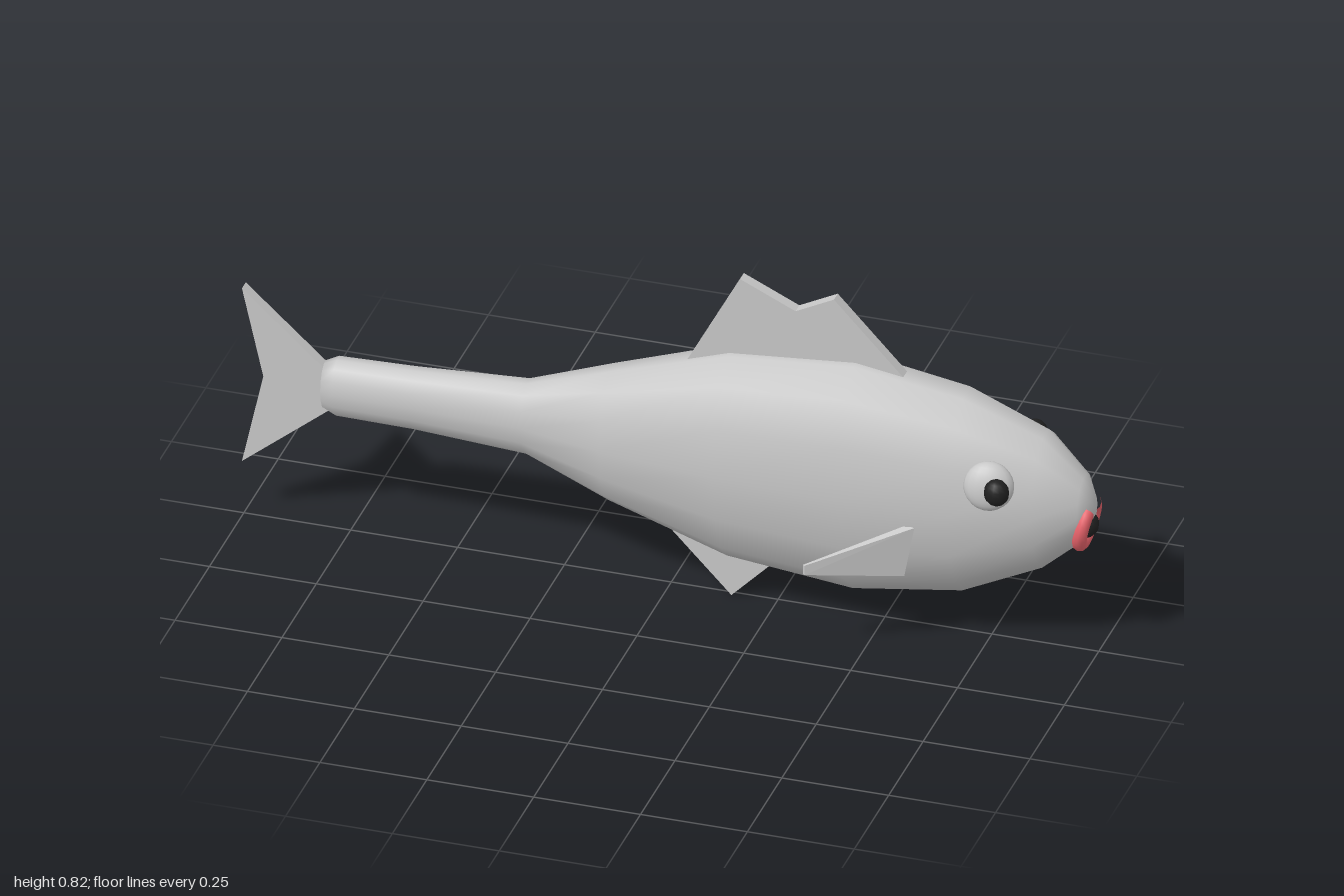
import * as THREE from 'three';
import { ConvexGeometry } from 'three/addons/geometries/ConvexGeometry.js';

const grey = new THREE.MeshStandardMaterial({ name: 'silver grey', color: 0xc6c6c6 });
const red = new THREE.MeshStandardMaterial({ name: 'lip red', color: 0xe8636b });
const black = new THREE.MeshStandardMaterial({ name: 'black', color: 0x202020 });

function addMesh(parent, name, geometry, material) {
  const mesh = new THREE.Mesh(geometry, material);
  mesh.name = name;
  parent.add(mesh);
  return mesh;
}

// Smooth body lofted through 14-sided rings: [x, bottom, top, half width]
function bodyGeometry() {
  const rings = [
    [-0.81, 0.31, 0.425, 0.036], [-0.78, 0.297, 0.44, 0.047], [-0.6, 0.295, 0.445, 0.05],
    [-0.335, 0.28, 0.46, 0.06], [-0.14, 0.2, 0.53, 0.095], [0.14, 0.112, 0.625, 0.135],
    [0.435, 0.082, 0.652, 0.146], [0.69, 0.12, 0.613, 0.133], [0.875, 0.208, 0.54, 0.105],
    [0.967, 0.287, 0.447, 0.06], [0.988, 0.33, 0.4, 0.027]
  ];
  const sides = 14, flat = Math.cos(Math.PI / sides);
  const pos = [], index = [];
  rings.forEach(([x, low, high, w]) => {
    for (let j = 0; j < sides; j++) {
      const a = ((j + 0.5) / sides) * Math.PI * 2;
      pos.push(x, (low + high) / 2 + ((high - low) / 2 / flat) * Math.cos(a), w * Math.sin(a));
    }
  });
  const last = rings.length - 1, tail = rings.length * sides, nose = tail + 1;
  pos.push(-0.812, 0.368, 0, 0.991, 0.365, 0);
  for (let j = 0; j < sides; j++) {
    const k = (j + 1) % sides;
    for (let i = 0; i < last; i++) {
      const a = i * sides + j, c = i * sides + k;
      index.push(a, c, a + sides, c, c + sides, a + sides);
    }
    index.push(tail, k, j, nose, last * sides + j, last * sides + k);
  }
  const g = new THREE.BufferGeometry();
  g.setAttribute('position', new THREE.Float32BufferAttribute(pos, 3));
  g.setIndex(index);
  g.computeVertexNormals();
  return g;
}

// Flat slab fin in the middle plane
function slabFin(points) {
  const shape = new THREE.Shape(points.map(([x, y]) => new THREE.Vector2(x, y)));
  const g = new THREE.ExtrudeGeometry(shape, { depth: 0.028, bevelEnabled: false });
  return g.translate(0, 0, -0.014);
}

export function createModel() {
  const fish = new THREE.Group();
  fish.name = 'fish';
  addMesh(fish, 'body', bodyGeometry(), grey);

  addMesh(fish, 'tailFin', slabFin([
    [-1, 0.588], [-0.95, 0.37], [-1, 0.143], [-0.79, 0.315], [-0.77, 0.37], [-0.79, 0.4]
  ]), grey);
  addMesh(fish, 'dorsalFin', slabFin([
    [0.02, 0.55], [0.3, 0.55], [0.58, 0.6], [0.385, 0.806], [0.295, 0.76], [0.165, 0.82]
  ]), grey);
  addMesh(fish, 'bellyFin', slabFin([[-0.02, 0.172], [0.145, 0.002], [0.28, 0.14]]), grey);

  // Parts on both flanks
  for (const s of [1, -1]) {
    const side = s > 0 ? 'left' : 'right';

    // Side fin: wedge sweeping back to a thin tip
    const corners = [
      [0.385, 0.224, 0.24], [0.385, 0.248, 0.24], [0.39, 0.224, 0.243], [0.39, 0.248, 0.243],
      [0.575, 0.208, 0.13], [0.59, 0.325, 0.13], [0.59, 0.2, 0.14], [0.612, 0.325, 0.135]
    ].map(([x, y, z]) => new THREE.Vector3(x, y, z * s));
    addMesh(fish, side + 'SideFin', new ConvexGeometry(corners), grey);

    // Flattened eyeball leaning up and forward, with a round pupil
    const eye = addMesh(fish, side + 'Eye', new THREE.SphereGeometry(1, 18, 14), grey);
    eye.position.set(0.78, 0.453, 0.116 * s);
    eye.scale.set(0.057, 0.057, 0.028);
    eye.quaternion.setFromUnitVectors(
      new THREE.Vector3(0, 0, 1), new THREE.Vector3(0.2, 0.28, s).normalize());
    const pupil = addMesh(fish, side + 'Pupil', new THREE.SphereGeometry(1, 12, 10), black);
    pupil.position.set(0.806, 0.454, 0.141 * s);
    pupil.scale.set(0.029, 0.032, 0.026);
  }

  // Open ring of lips facing forward, gap at the top
  const arc = 5.1;
  const ring = new THREE.TorusGeometry(0.046, 0.017, 10, 24, arc);
  ring.rotateZ(Math.PI / 2 + (Math.PI * 2 - arc) / 2).scale(1, 1.08, 1);
  ring.rotateY(Math.PI / 2).rotateZ(-0.2);
  addMesh(fish, 'lips', ring, red).position.set(0.972, 0.328, 0);

  const mouth = addMesh(fish, 'mouth', new THREE.SphereGeometry(0.032, 12, 10), black);
  mouth.position.set(0.968, 0.325, 0);
  return fish;
}
